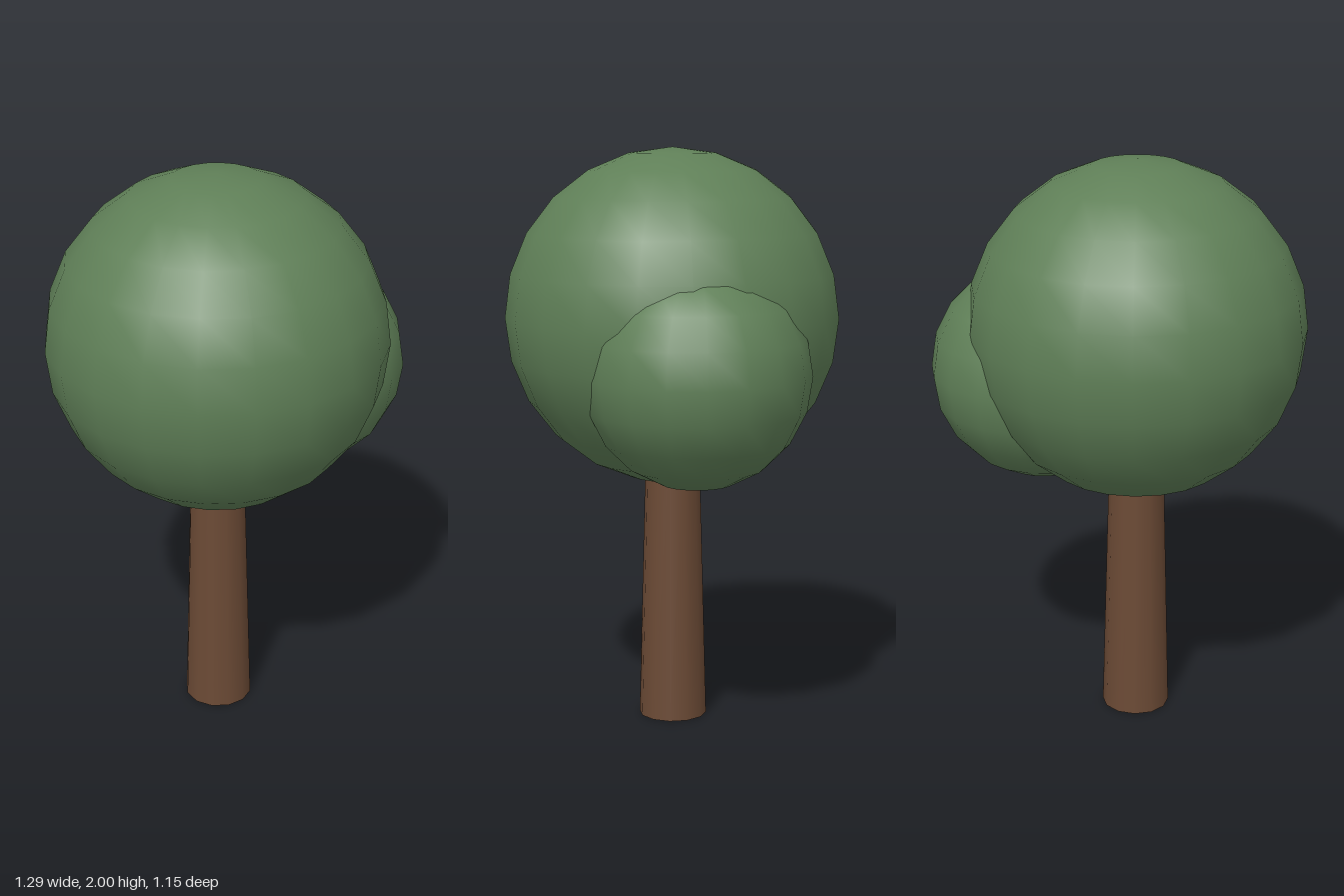
import * as THREE from 'three';

export function createModel() {
  const group = new THREE.Group();
  const bark = new THREE.MeshStandardMaterial({ color: 0x6b4a35 });
  const leaves = new THREE.MeshStandardMaterial({ color: 0x5f7f57 });

  const add = (name, geometry, material, x, y, z) => {
    const mesh = new THREE.Mesh(geometry, material);
    mesh.name = name;
    mesh.position.set(x, y, z);
    group.add(mesh);
  };

  // Tapered trunk, its top sunk into the crown
  const trunkHeight = 0.96;
  add('trunk', new THREE.CylinderGeometry(0.094, 0.119, trunkHeight, 12), bark, -0.066, trunkHeight / 2, 0);

  // Large round crown and the smaller clump on its left side
  add('crown', new THREE.SphereGeometry(0.577, 20, 12), leaves, -0.066, 1.423, 0);
  add('sideFoliage', new THREE.SphereGeometry(0.383, 18, 10), leaves, 0.26, 1.26, 0.062);

  return group;
}
